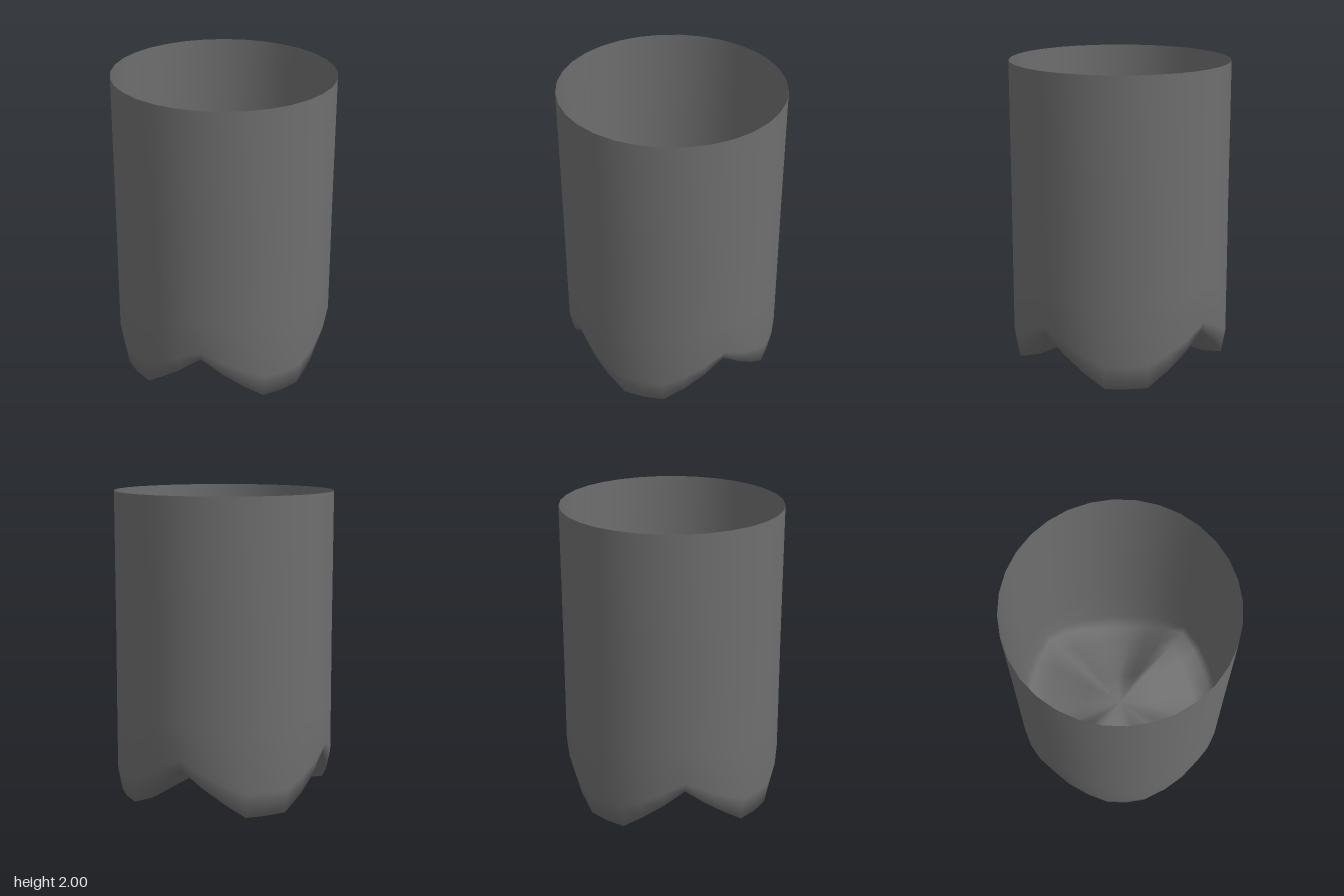
import * as THREE from 'three';
import { mergeVertices } from 'three/addons/utils/BufferGeometryUtils.js';

const SIDES = 32;
// Blend from foot (0) to notch (1) around one quarter of the circle
const LOBE = [0, 0, 0.32, 0.65, 1, 0.65, 0.32, 0];

// Rings from the centre of the base to the open rim:
// [radius, height over a foot, height over a notch]
const RINGS = [
  [0, 0.25, 0.25],
  [0.26, 0.09, 0.26],
  [0.57, 0, 0.28],
  [0.7, 0, 0.3],
  [0.727, 0.16, 0.37],
  [0.725, 0.55, 0.6],
  [0.721, 1.1, 1.1],
  [0.718, 2, 2],
];

// Open-topped cylinder whose base is pushed up between four feet
function lobedShell() {
  const profile = RINGS.map(([r, y]) => new THREE.Vector2(r, y));
  const lathe = new THREE.LatheGeometry(profile, SIDES);
  const pos = lathe.attributes.position;
  for (let i = 0; i <= SIDES; i++) {
    const t = LOBE[i % LOBE.length];
    RINGS.forEach(([, foot, notch], j) => {
      pos.setY(i * RINGS.length + j, THREE.MathUtils.lerp(foot, notch, t));
    });
  }
  // Weld the seam so the shading runs smoothly all the way round
  lathe.deleteAttribute('uv');
  lathe.deleteAttribute('normal');
  const welded = mergeVertices(lathe, 1e-4);
  welded.computeVertexNormals();
  return welded;
}

export function createModel() {
  const group = new THREE.Group();
  group.name = 'lobedContainer';
  const shell = new THREE.Mesh(
    lobedShell(),
    new THREE.MeshStandardMaterial({ color: 0x6e6e6e, side: THREE.DoubleSide })
  );
  shell.name = 'shellWithFourFeet';
  group.add(shell);
  return group;
}
